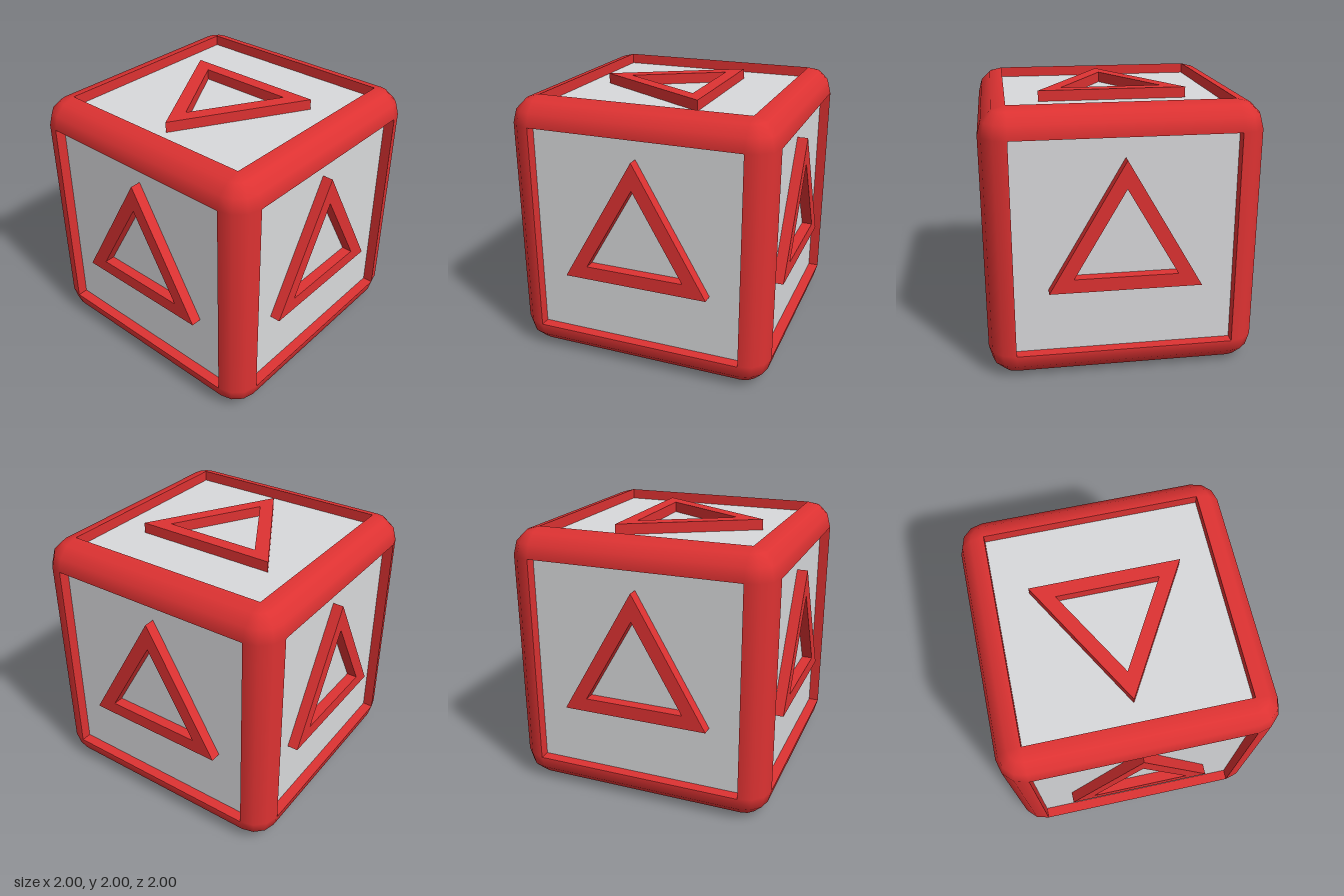
import * as THREE from 'three';

const HALF = 1;        // half the cube's size
const INNER = 0.8;     // half the panel opening
const R = HALF - INNER; // edge rounding radius
const DEPTH = 0.08;    // panel recess

const red = new THREE.MeshStandardMaterial({ color: 0xdd3232 });
red.name = 'frame red';
const grey = new THREE.MeshStandardMaterial({ color: 0xd8d9db });
grey.name = 'panel grey';

function add(parent, name, geometry, material) {
  const mesh = new THREE.Mesh(geometry, material);
  mesh.name = name;
  parent.add(mesh);
  return mesh;
}

// Equilateral triangle pointing up, centred on its centroid
function trianglePoints(radius) {
  return [90, 210, 330].map((deg) => {
    const a = THREE.MathUtils.degToRad(deg);
    return new THREE.Vector2(radius * Math.cos(a), radius * Math.sin(a));
  });
}

function triangleRing() {
  const shape = new THREE.Shape(trianglePoints(0.64));
  shape.holes.push(new THREE.Path(trianglePoints(0.435)));
  return new THREE.ExtrudeGeometry(shape, { depth: DEPTH, bevelEnabled: false })
    .translate(0, 0, HALF - DEPTH);
}

// One side of the cube, facing +z: recessed panel, its four walls, raised triangle
function makeFace(name) {
  const face = new THREE.Group();
  face.name = name;
  add(face, 'panel', new THREE.PlaneGeometry(2 * INNER, 2 * INNER)
    .translate(0, 0, HALF - DEPTH), grey);
  for (let i = 0; i < 4; i++) {
    add(face, 'recessWall', new THREE.PlaneGeometry(2 * INNER, DEPTH)
      .rotateX(Math.PI / 2)
      .translate(0, INNER, HALF - DEPTH / 2)
      .rotateZ(i * Math.PI / 2), red);
  }
  add(face, 'triangle', triangleRing(), red);
  return face;
}

// Four rounded edges parallel to y
function makeEdges() {
  const edges = new THREE.Group();
  edges.name = 'roundedEdges';
  for (let i = 0; i < 4; i++) {
    add(edges, 'roundedEdge',
      new THREE.CylinderGeometry(R, R, 2 * INNER, 3, 1, true, 0, Math.PI / 2)
        .translate(INNER, 0, INNER)
        .rotateY(i * Math.PI / 2), red);
  }
  return edges;
}

// Four ball corners around the top
function makeCorners() {
  const corners = new THREE.Group();
  corners.name = 'roundedCorners';
  for (let i = 0; i < 4; i++) {
    add(corners, 'roundedCorner',
      new THREE.SphereGeometry(R, 3, 3, Math.PI / 2, Math.PI / 2, 0, Math.PI / 2)
        .translate(INNER, INNER, INNER)
        .rotateY(i * Math.PI / 2), red);
  }
  return corners;
}

export function createModel() {
  const model = new THREE.Group();
  model.name = 'triangleCube';
  const cube = new THREE.Group();
  cube.name = 'cube';
  cube.position.y = HALF;
  model.add(cube);

  // Side faces
  ['frontFace', 'leftFace', 'backFace', 'rightFace'].forEach((name, i) => {
    const face = makeFace(name);
    face.rotation.y = i * Math.PI / 2;
    cube.add(face);
  });

  // Top triangle points forward, bottom triangle points back
  const top = makeFace('topFace');
  top.rotation.set(-Math.PI / 2, 0, Math.PI);
  const bottom = makeFace('bottomFace');
  bottom.rotation.set(Math.PI / 2, 0, Math.PI);
  cube.add(top, bottom);

  // Frame edges along each axis
  const edgesY = makeEdges();
  const edgesX = makeEdges();
  edgesX.rotation.z = Math.PI / 2;
  const edgesZ = makeEdges();
  edgesZ.rotation.x = Math.PI / 2;
  cube.add(edgesY, edgesX, edgesZ);

  // Frame corners
  const upper = makeCorners();
  const lower = makeCorners();
  lower.rotation.x = Math.PI;
  cube.add(upper, lower);

  return model;
}
